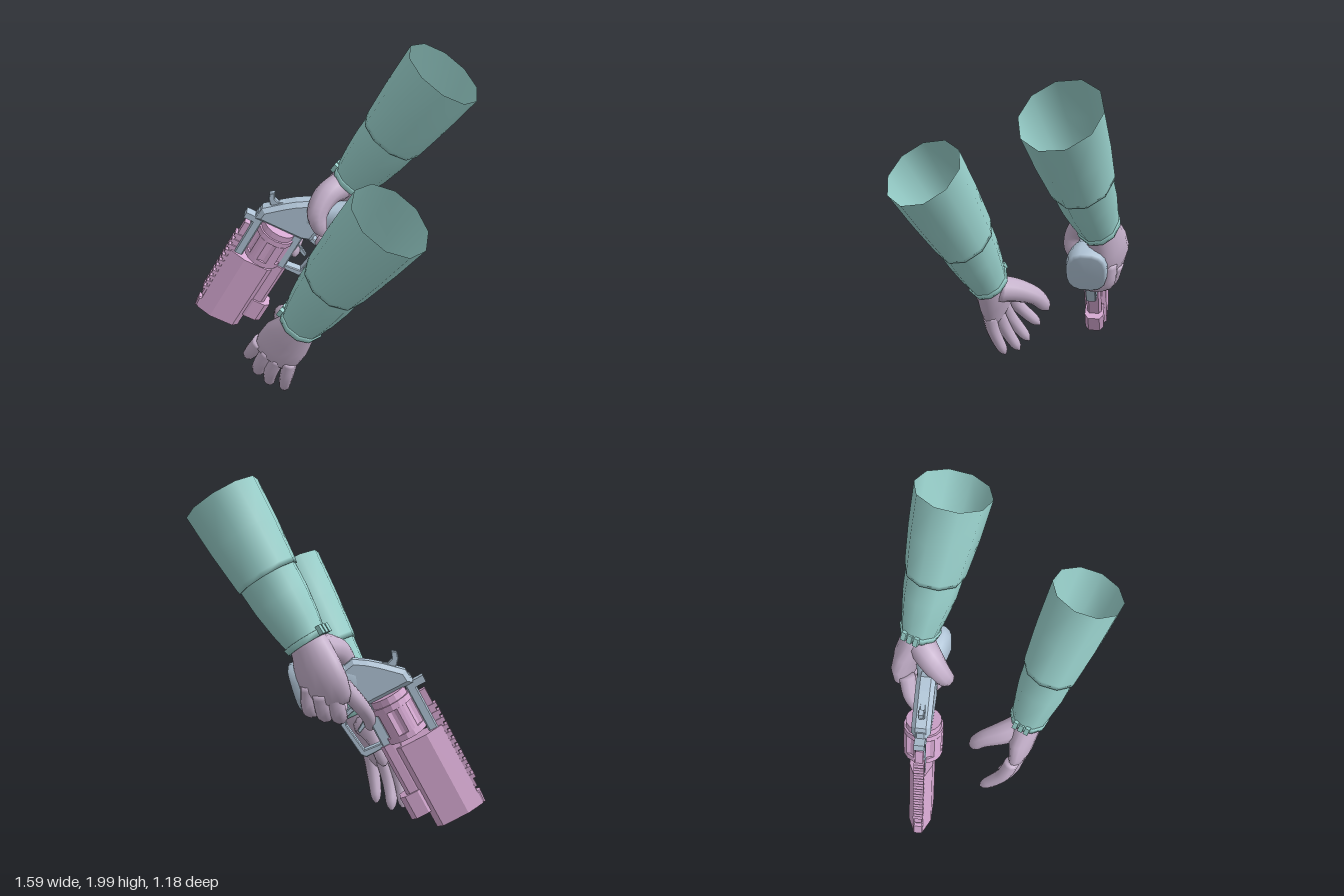
import * as THREE from 'three';

const mat = (name, color, side = THREE.FrontSide) => {
  const m = new THREE.MeshStandardMaterial({ color, side });
  m.name = name;
  return m;
};

// Skin through elliptical rings: [x, y, z, halfAlongRef, halfAcross]
function loft(rings, ref, sides, capped = true, power = 1) {
  const c = rings.map(r => new THREE.Vector3(r[0], r[1], r[2]));
  const pos = [], idx = [], n = rings.length;
  const bend = k => Math.sign(k) * Math.abs(k) ** power;
  rings.forEach((r, i) => {
    const axis = c[Math.min(i + 1, n - 1)].clone().sub(c[Math.max(i - 1, 0)]).normalize();
    const u = ref.clone().addScaledVector(axis, -ref.dot(axis)).normalize();
    const v = axis.clone().cross(u);
    for (let j = 0; j < sides; j++) {
      const a = (j + 0.5) / sides * Math.PI * 2;
      const p = c[i].clone().addScaledVector(u, bend(Math.cos(a)) * r[3])
        .addScaledVector(v, bend(Math.sin(a)) * (r[4] ?? r[3]));
      pos.push(p.x, p.y, p.z);
    }
  });
  for (let i = 0; i < n - 1; i++) for (let j = 0; j < sides; j++) {
    const k = (j + 1) % sides, a = i * sides + j, b = i * sides + k;
    idx.push(a, b, b + sides, a, b + sides, a + sides);
  }
  if (capped) {
    const s = pos.length / 3, e = s + 1, last = (n - 1) * sides;
    pos.push(...c[0].toArray(), ...c[n - 1].toArray());
    for (let j = 0; j < sides; j++) {
      const k = (j + 1) % sides;
      idx.push(s, k, j, e, last + j, last + k);
    }
  }
  const g = new THREE.BufferGeometry();
  g.setAttribute('position', new THREE.Float32BufferAttribute(pos, 3));
  g.setIndex(idx);
  g.computeVertexNormals();
  return g;
}

// Rounded finger along a smooth path of [x, y, z, radius]
function finger(pts, ref) {
  const curve = new THREE.CatmullRomCurve3(pts.map(p => new THREE.Vector3(p[0], p[1], p[2])));
  const rings = [], N = 14;
  for (let i = 0; i <= N; i++) {
    const t = i / N, f = t * (pts.length - 1), k = Math.min(Math.floor(f), pts.length - 2);
    const r = THREE.MathUtils.lerp(pts[k][3], pts[k + 1][3], f - k);
    const tip = Math.max(0, (t - 0.8) / 0.2);
    const p = curve.getPoint(t);
    rings.push([p.x, p.y, p.z, r * Math.sqrt(1 - 0.93 * tip * tip)]);
  }
  return loft(rings, ref, 10);
}

export function createModel() {
  const root = new THREE.Group();
  const cloth = mat('tealCloth', 0x99d1cc, THREE.DoubleSide);
  const glove = mat('mauveGlove', 0xc4b0ca);
  const pink = mat('pinkMetal', 0xd6a9d2);
  const steel = mat('blueGreySteel', 0xb0c4d6);
  const X = new THREE.Vector3(1, 0, 0), Y = new THREE.Vector3(0, 1, 0), Z = new THREE.Vector3(0, 0, 1);
  const add = (parent, name, geo, m) => {
    const mesh = new THREE.Mesh(geo, m);
    mesh.name = name;
    parent.add(mesh);
    return mesh;
  };
  const group = name => {
    const g = new THREE.Group();
    g.name = name;
    root.add(g);
    return g;
  };

  // Sleeves: tapered forearm, overlapping upper tube, cuff band and tabs
  function sleeve(name, wrist, seam, top) {
    const g = group(name);
    const w = new THREE.Vector3(...wrist), s = new THREE.Vector3(...seam), t = new THREE.Vector3(...top);
    const ring = (a, b, k, rz, rx) => [...a.clone().lerp(b, k).toArray(), rz, rx];
    add(g, 'forearmSleeve', loft([ring(w, s, 0, 0.103, 0.118), ring(w, s, 0.3, 0.125, 0.145),
      ring(w, s, 0.65, 0.148, 0.165), ring(w, s, 1, 0.156, 0.174)], Z, 10, false), cloth);
    add(g, 'upperSleeve', loft([ring(s, t, 0, 0.15, 0.168), ring(s, t, -0.025, 0.162, 0.182),
      ring(s, t, 0.03, 0.168, 0.186), ring(s, t, 0.5, 0.19, 0.209), ring(s, t, 1, 0.203, 0.225)], Z, 10, false), cloth);
    add(g, 'cuffBand', loft([ring(w, s, -0.01, 0.1, 0.115), ring(w, s, -0.01, 0.112, 0.127),
      ring(w, s, 0.07, 0.12, 0.134), ring(w, s, 0.08, 0.105, 0.12)], Z, 10, false), cloth);
    const axis = s.clone().sub(w).normalize();
    for (let i = -1; i <= 1; i++) {
      const tab = add(g, 'cuffTab', new THREE.BoxGeometry(0.025, 0.05, 0.028), cloth);
      tab.quaternion.setFromUnitVectors(Y, axis);
      tab.position.copy(w).addScaledVector(axis, 0.02)
        .add(new THREE.Vector3(-axis.y, axis.x, 0).multiplyScalar(0.125));
      tab.position.z += i * 0.038;
    }
  }
  sleeve('leftSleeve', [0.09, 0.59, 0.37], [0.305, 0.975, 0.38], [0.6, 1.45, 0.398]);
  sleeve('rightSleeve', [0.07, 1.12, -0.35], [0.3, 1.47, -0.37], [0.555, 1.88, -0.397]);

  // Open left hand
  const left = group('leftHand');
  add(left, 'leftPalm', loft([[0.11, 0.63, 0.37, 0.085, 0.1], [0.075, 0.56, 0.375, 0.09, 0.112],
    [0.015, 0.47, 0.385, 0.08, 0.142], [-0.035, 0.385, 0.405, 0.06, 0.142],
    [-0.07, 0.32, 0.405, 0.045, 0.125], [-0.085, 0.29, 0.4, 0.02, 0.1]], Z, 18), glove);
  [[[-0.15, 0.4, 0.4, 0.045], [-0.21, 0.3, 0.385, 0.044], [-0.265, 0.21, 0.335, 0.039], [-0.315, 0.13, 0.275, 0.032]],
   [[-0.09, 0.36, 0.41, 0.046], [-0.15, 0.24, 0.4, 0.044], [-0.195, 0.14, 0.36, 0.04], [-0.225, 0.05, 0.3, 0.032]],
   [[-0.03, 0.33, 0.41, 0.046], [-0.08, 0.21, 0.4, 0.044], [-0.115, 0.11, 0.37, 0.039], [-0.143, 0.015, 0.32, 0.032]],
   [[0.045, 0.33, 0.41, 0.043], [0.02, 0.22, 0.405, 0.041], [-0.005, 0.13, 0.385, 0.037], [-0.03, 0.035, 0.35, 0.03]],
  ].forEach((p, i) => add(left, 'leftFinger' + (i + 1), finger(p, X), glove));
  add(left, 'leftThumb', finger([[0.04, 0.53, 0.35, 0.085], [-0.05, 0.5, 0.265, 0.072],
    [-0.125, 0.445, 0.175, 0.053], [-0.175, 0.35, 0.125, 0.04]], Y), glove);

  // Right hand wrapped around the grip
  const right = group('rightHand');
  add(right, 'rightPalm', loft([[0.09, 1.16, -0.35, 0.085, 0.1], [0.05, 1.09, -0.355, 0.09, 0.115],
    [0, 0.99, -0.375, 0.08, 0.14], [-0.045, 0.9, -0.38, 0.066, 0.145],
    [-0.08, 0.83, -0.365, 0.05, 0.12], [-0.09, 0.8, -0.355, 0.02, 0.09]], Z, 18), glove);
  [[[-0.13, 0.9, -0.33, 0.05], [-0.195, 0.8, -0.27, 0.045], [-0.215, 0.71, -0.19, 0.038], [-0.2, 0.63, -0.13, 0.032]],
   [[-0.09, 0.87, -0.37, 0.05], [-0.1, 0.75, -0.33, 0.045], [-0.06, 0.72, -0.22, 0.041], [-0.035, 0.8, -0.16, 0.035]],
   [[-0.03, 0.87, -0.4, 0.05], [-0.03, 0.755, -0.36, 0.045], [0.005, 0.735, -0.25, 0.041], [0.02, 0.8, -0.17, 0.035]],
   [[0.04, 0.9, -0.4, 0.046], [0.045, 0.78, -0.39, 0.041], [0.065, 0.75, -0.28, 0.037], [0.075, 0.8, -0.21, 0.032]],
  ].forEach((p, i) => add(right, 'rightFinger' + (i + 1), finger(p, X), glove));
  add(right, 'rightThumb', finger([[0.03, 1.1, -0.33, 0.085], [-0.03, 1.07, -0.22, 0.075],
    [-0.05, 0.98, -0.135, 0.06], [-0.01, 0.85, -0.12, 0.042]], X), glove);

  // Revolver: local x runs from muzzle to rear, y up toward the sights, z across
  const gun = group('revolver');
  const h = new THREE.Vector3(0.913, 0, -0.408);
  const back = h.clone().multiplyScalar(0.475).addScaledVector(Y, 0.88).normalize();
  const up = h.clone().multiplyScalar(-0.88).addScaledVector(Y, 0.475).normalize();
  gun.quaternion.setFromRotationMatrix(new THREE.Matrix4().makeBasis(back, up, back.clone().cross(up)));
  gun.position.set(-0.79, 0.24, 0.1);
  const shapeOf = pts => new THREE.Shape(pts.map(p => new THREE.Vector2(p[0], -p[1])));
  const plate = (name, pts, width, m, bevel = 0.008) => {
    const g = new THREE.ExtrudeGeometry(shapeOf(pts), { depth: width - 2 * bevel, bevelEnabled: bevel > 0,
      bevelThickness: bevel, bevelSize: bevel, bevelOffset: -bevel, bevelSegments: 1, curveSegments: 6 });
    return add(gun, name, g.translate(0, 0, bevel - width / 2), m);
  };
  const bar = (name, shape, from, to, m) => add(gun, name,
    new THREE.ExtrudeGeometry(shape, { depth: to - from, bevelEnabled: false, curveSegments: 8 })
      .rotateY(Math.PI / 2).translate(from, 0, 0), m);
  const box = (name, s0, s1, t0, t1, w, m) => add(gun, name,
    new THREE.BoxGeometry(s1 - s0, t1 - t0, w).translate((s0 + s1) / 2, -(t0 + t1) / 2, 0), m);
  const mirrored = half => shapeOf([...half, ...half.map(p => [-p[0], p[1]]).reverse()]);

  // Barrel shroud, lug, ribbed rail and sights
  bar('barrelShroud', mirrored([[0.03, 0.015], [0.068, 0.11], [0.068, 0.265], [0.038, 0.3]]), 0, 0.5, pink);
  bar('lugHead', mirrored([[0.04, 0.27], [0.058, 0.3], [0.058, 0.375], [0.035, 0.405]]), 0.1, 0.24, pink);
  bar('underLug', mirrored([[0.04, 0.26], [0.046, 0.3], [0.046, 0.345], [0.03, 0.365]]), 0.22, 0.54, pink);
  plate('frontSight', [[0, 0.05], [0, 0], [0.07, -0.005], [0.09, 0.05]], 0.06, pink);
  box('rail', 0.1, 0.72, 0, 0.05, 0.045, pink);
  for (let i = 0; i < 11; i++) box('railRib', 0.15 + i * 0.045, 0.175 + i * 0.045, -0.016, 0.03, 0.06, pink);
  box('rearSight', 0.75, 0.79, -0.022, 0.06, 0.06, steel);

  // Fluted drum
  const flutes = [];
  for (let i = 0; i < 36; i++) {
    const a = i / 36 * Math.PI * 2, r = i % 6 < 2 ? 0.1 : 0.116;
    flutes.push([Math.cos(a) * r, Math.sin(a) * r]);
  }
  const drum = [bar('flutedDrum', shapeOf(flutes), 0.57, 0.71, pink)];
  const disc = new THREE.Shape().absarc(0, 0, 0.116, 0, Math.PI * 2);
  const ring = new THREE.Shape().absarc(0, 0, 0.104, 0, Math.PI * 2);
  drum.push(bar('drumFront', disc, 0.535, 0.57, pink), bar('drumRear', disc, 0.71, 0.745, pink),
    bar('drumRatchet', ring, 0.745, 0.785, pink));
  drum.forEach(d => { d.position.y = -0.2; });

  // Steel frame, hammer, guard and trigger
  plate('topStrap', [[0.48, 0.035], [0.83, 0.035], [0.83, 0.09], [0.48, 0.09]], 0.06, steel);
  plate('frameBottom', [[0.5, 0.29], [0.82, 0.29], [0.82, 0.35], [0.5, 0.355]], 0.07, steel);
  plate('rearFrame', [[0.78, 0.04], [0.86, 0.045], [0.95, 0.14], [1.0, 0.2], [1.045, 0.27], [1.02, 0.4],
    [0.88, 0.41], [0.8, 0.4], [0.78, 0.34]], 0.11, steel, 0.025);
  plate('hammer', [[0.88, 0.13], [0.9, 0.075], [0.93, 0.05], [0.965, 0.04], [0.985, 0.065], [0.945, 0.085],
    [0.935, 0.115], [0.97, 0.17], [0.93, 0.2]], 0.035, steel, 0.005);
  const guard = [[0.53, 0.34], [0.53, 0.46], [0.555, 0.48], [0.75, 0.5], [0.8, 0.47], [0.82, 0.39],
    [0.79, 0.39], [0.775, 0.45], [0.74, 0.47], [0.57, 0.45], [0.56, 0.34]];
  plate('triggerGuard', guard, 0.06, steel, 0.005);
  plate('trigger', [[0.7, 0.34], [0.66, 0.43], [0.68, 0.435], [0.74, 0.34]], 0.025, steel, 0.004);

  // Grip flaring to a wide faceted butt
  add(gun, 'grip', loft([[0.92, -0.25, 0, 0.05, 0.09], [0.95, -0.34, 0, 0.06, 0.085], [0.99, -0.44, 0, 0.075, 0.095],
    [1.02, -0.51, 0, 0.1, 0.125], [1.04, -0.57, 0, 0.115, 0.138], [1.05, -0.615, 0, 0.11, 0.132],
    [1.052, -0.625, 0, 0.095, 0.115]], Z, 16, true, 0.75), steel);
  return root;
}
